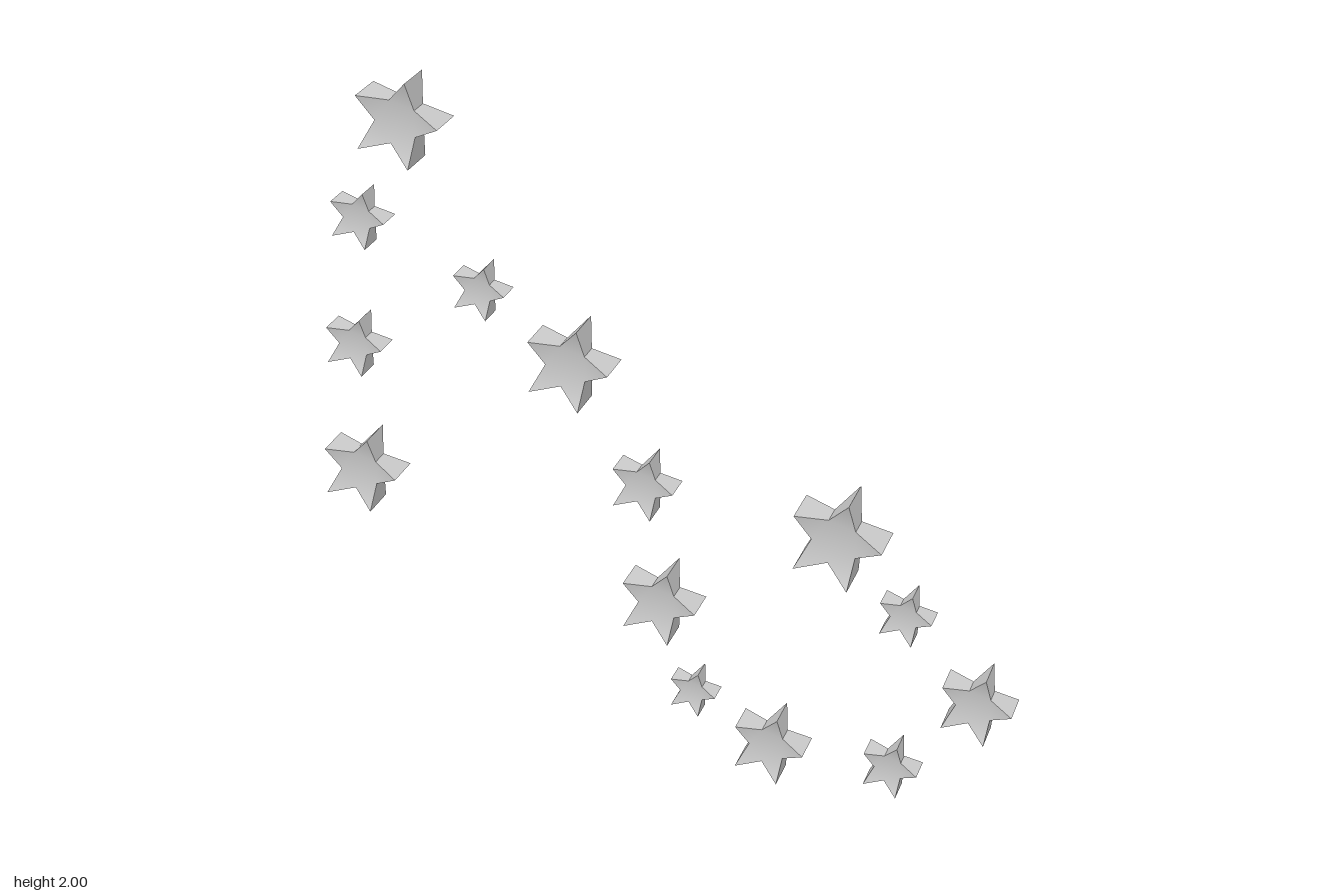
import * as THREE from 'three';
import { toCreasedNormals } from 'three/addons/utils/BufferGeometryUtils.js';

const TILT = THREE.MathUtils.degToRad(15);
const INNER = 0.5; // notch size relative to the points, in radius and thickness

// x, y, radius of each star
const STARS = [
  [-0.735, 1.877, 0.129], [-0.864, 1.58, 0.086], [-0.525, 1.405, 0.081],
  [-0.275, 1.217, 0.127], [-0.892, 1.197, 0.09], [-0.888, 0.806, 0.118],
  [-0.069, 0.876, 0.096], [0.473, 0.795, 0.138], [0.664, 0.583, 0.081],
  [0.867, 0.338, 0.109], [-0.023, 0.514, 0.117], [0.073, 0.24, 0.072],
  [0.294, 0.105, 0.11], [0.637, 0.092, 0.085],
];

// Unit star, one point towards +x, thick at the points and thin at the notches
function starGeometry() {
  const corner = (i, side) => {
    const r = i % 2 ? INNER : 1;
    const a = (i * Math.PI) / 5;
    return [r * Math.cos(a), r * Math.sin(a), side * r * 0.5];
  };
  const positions = [];
  const tri = (a, b, c) => positions.push(...a, ...b, ...c);

  // Front and back faces: a central pentagon and five raised points
  for (const side of [1, -1]) {
    const face = (a, b, c) => (side > 0 ? tri(a, b, c) : tri(a, c, b));
    const center = [0, 0, side * INNER * 0.5];
    for (let i = 0; i < 10; i += 2) {
      const before = corner(i + 9, side), after = corner(i + 1, side);
      face(before, corner(i, side), after);
      face(center, before, after);
    }
  }
  // Rim
  for (let i = 0; i < 10; i++) {
    const a = corner(i, 1), b = corner(i, -1);
    const c = corner(i + 1, -1), d = corner(i + 1, 1);
    tri(a, b, c);
    tri(a, c, d);
  }
  const geometry = new THREE.BufferGeometry();
  geometry.setAttribute('position', new THREE.Float32BufferAttribute(positions, 3));
  return toCreasedNormals(geometry, THREE.MathUtils.degToRad(35));
}

export function createModel() {
  const group = new THREE.Group();
  group.name = 'starCluster';
  const geometry = starGeometry();
  const material = new THREE.MeshStandardMaterial({ color: 0xcccccc });

  // All stars lie in one upright plane turned about the vertical axis
  STARS.forEach(([x, y, radius], i) => {
    const star = new THREE.Mesh(geometry, material);
    star.name = `star${i + 1}`;
    star.position.set(x, y, x * Math.tan(TILT));
    star.rotation.y = -TILT;
    star.scale.setScalar(radius);
    group.add(star);
  });
  return group;
}
